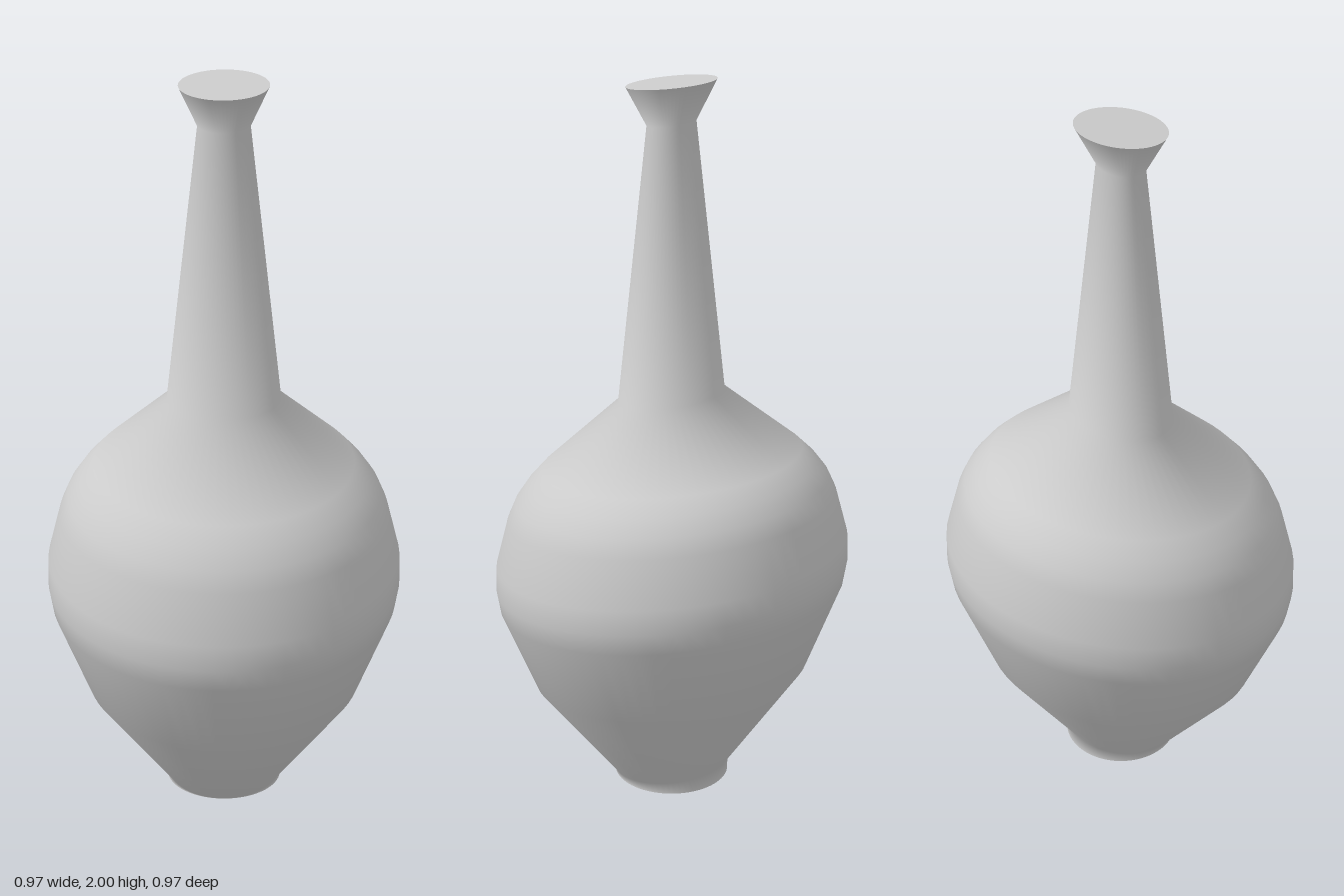
import * as THREE from 'three';
import { mergeVertices } from 'three/addons/utils/BufferGeometryUtils.js';

const SIDES = 64;
const SLANT = 0.128; // every ring above the base dips towards the front

// Rings from foot to lip: [radius, height, depth scale, slant]
const rings = [
  [0.16, 0, 1, 0],
  [0.16, 0.021, 1, SLANT],
  [0.38, 0.32, 1, SLANT],
  [0.475, 0.56, 1, SLANT],
  [0.485, 0.62, 1, SLANT],
  [0.483, 0.69, 1, SLANT],
  [0.449, 0.82, 1, SLANT],
  [0.427, 0.87, 1, SLANT],
  [0.395, 0.915, 1, SLANT],
  [0.355, 0.957, 1, SLANT],
  [0.154, 1.138, 0.88, SLANT],
  [0.069, 1.88, 0.88, SLANT],
  [0.118, 1.985, 1, SLANT],
];

function createModel() {
  const group = new THREE.Group();
  group.name = 'vase';
  const material = new THREE.MeshStandardMaterial({ color: 0xcccccc });
  const add = (name, geometry) => {
    const mesh = new THREE.Mesh(geometry, material);
    mesh.name = name;
    group.add(mesh);
  };

  // Turned wall, squeezed at the neck and slanted ring by ring
  const wall = new THREE.LatheGeometry(rings.map(([r, y]) => new THREE.Vector2(r, y)), SIDES);
  const p = wall.attributes.position;
  for (let i = 0; i < p.count; i++) {
    const [, y, depth, slant] = rings[i % rings.length];
    const z = p.getZ(i) * depth;
    p.setXYZ(i, p.getX(i), y - slant * z, z);
  }
  wall.deleteAttribute('normal');
  wall.deleteAttribute('uv');
  const body = mergeVertices(wall, 1e-5);
  body.computeVertexNormals();
  add('body', body);

  // Flat discs closing the mouth and the foot
  const disc = (r, y, slant, turn) => {
    const g = new THREE.CircleGeometry(r, SIDES).rotateX(turn);
    const q = g.attributes.position;
    for (let i = 0; i < q.count; i++) q.setY(i, y - slant * q.getZ(i));
    g.computeVertexNormals();
    return g;
  };
  add('mouth', disc(0.118, 1.985, SLANT, -Math.PI / 2));
  add('base', disc(0.16, 0, 0, Math.PI / 2));

  return group;
}

export { createModel };
